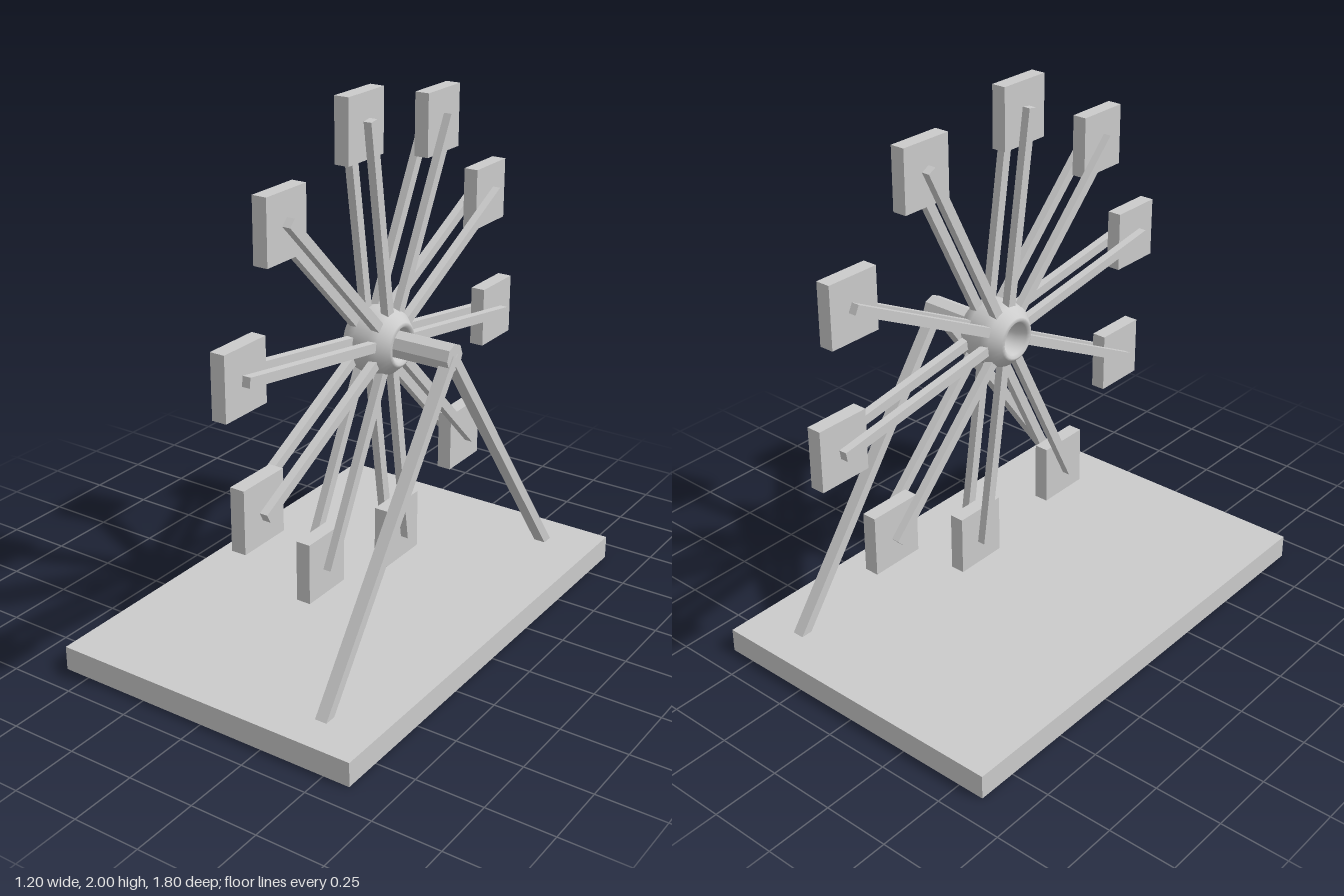
import * as THREE from 'three';

const HUB_Y = 1.108, WHEEL_X = 0.11, COUNT = 10;
const flat = new THREE.MeshStandardMaterial({ color: 0xcccccc, flatShading: true });
const smooth = new THREE.MeshStandardMaterial({ color: 0xcccccc, side: THREE.DoubleSide });

function add(parent, name, geometry, material = flat) {
  const mesh = new THREE.Mesh(geometry, material);
  mesh.name = name;
  parent.add(mesh);
  return mesh;
}

// Bar in the YZ plane, running from radius r0 to r1 at an angle from +y towards +z
function bar(parent, name, x, angle, r0, r1, thickX, width) {
  const geometry = new THREE.BoxGeometry(thickX, r1 - r0, width);
  geometry.translate(0, (r0 + r1) / 2, 0);
  const mesh = add(parent, name, geometry);
  mesh.position.x = x;
  mesh.rotation.x = angle;
  return mesh;
}

export function createModel() {
  const model = new THREE.Group();
  model.name = 'ferrisWheel';

  // Base slab
  add(model, 'base', new THREE.BoxGeometry(1.2, 0.09, 1.8)).position.y = 0.045;

  // Wheel
  const wheel = new THREE.Group();
  wheel.name = 'wheel';
  wheel.position.set(WHEEL_X, HUB_Y, 0);
  model.add(wheel);

  // Hollow ring hub, turned about the x axis
  const profile = [
    [0.05, 0], [0.052, 0.05], [0.06, 0.09], [0.07, 0.1], [0.08, 0.095], [0.112, 0.06], [0.12, 0.03],
    [0.12, -0.03], [0.112, -0.06], [0.08, -0.095], [0.07, -0.1], [0.06, -0.09], [0.052, -0.05], [0.05, 0],
  ].map(([r, h]) => new THREE.Vector2(r, h)).reverse();
  add(wheel, 'hub', new THREE.LatheGeometry(profile, 28), smooth).rotation.z = -Math.PI / 2;

  // Paired spokes with an upright cabin between them
  for (let i = 0; i < COUNT; i++) {
    const angle = THREE.MathUtils.degToRad(9 + i * 360 / COUNT);
    for (const side of [-1, 1]) bar(wheel, 'spoke', side * 0.045, angle, 0.08, 0.812, 0.03, 0.035);
    const cabin = add(wheel, 'cabin', new THREE.BoxGeometry(0.054, 0.225, 0.205));
    cabin.position.set(0, 0.79 * Math.cos(angle), 0.79 * Math.sin(angle));
  }

  // Octagonal axle reaching out to the support
  const axle = add(model, 'axle', new THREE.CylinderGeometry(0.05, 0.05, 0.305, 8));
  axle.rotation.z = Math.PI / 2;
  axle.position.set(0.2625, HUB_Y, 0);

  // Two splayed support legs
  const drop = HUB_Y - 0.09, spread = 0.745;
  for (const side of [-1, 1]) {
    const angle = Math.PI - side * Math.atan2(spread, drop);
    const leg = bar(model, 'supportLeg', 0.397, angle, 0, Math.hypot(drop, spread) + 0.02, 0.045, 0.036);
    leg.position.y = HUB_Y;
  }
  return model;
}
